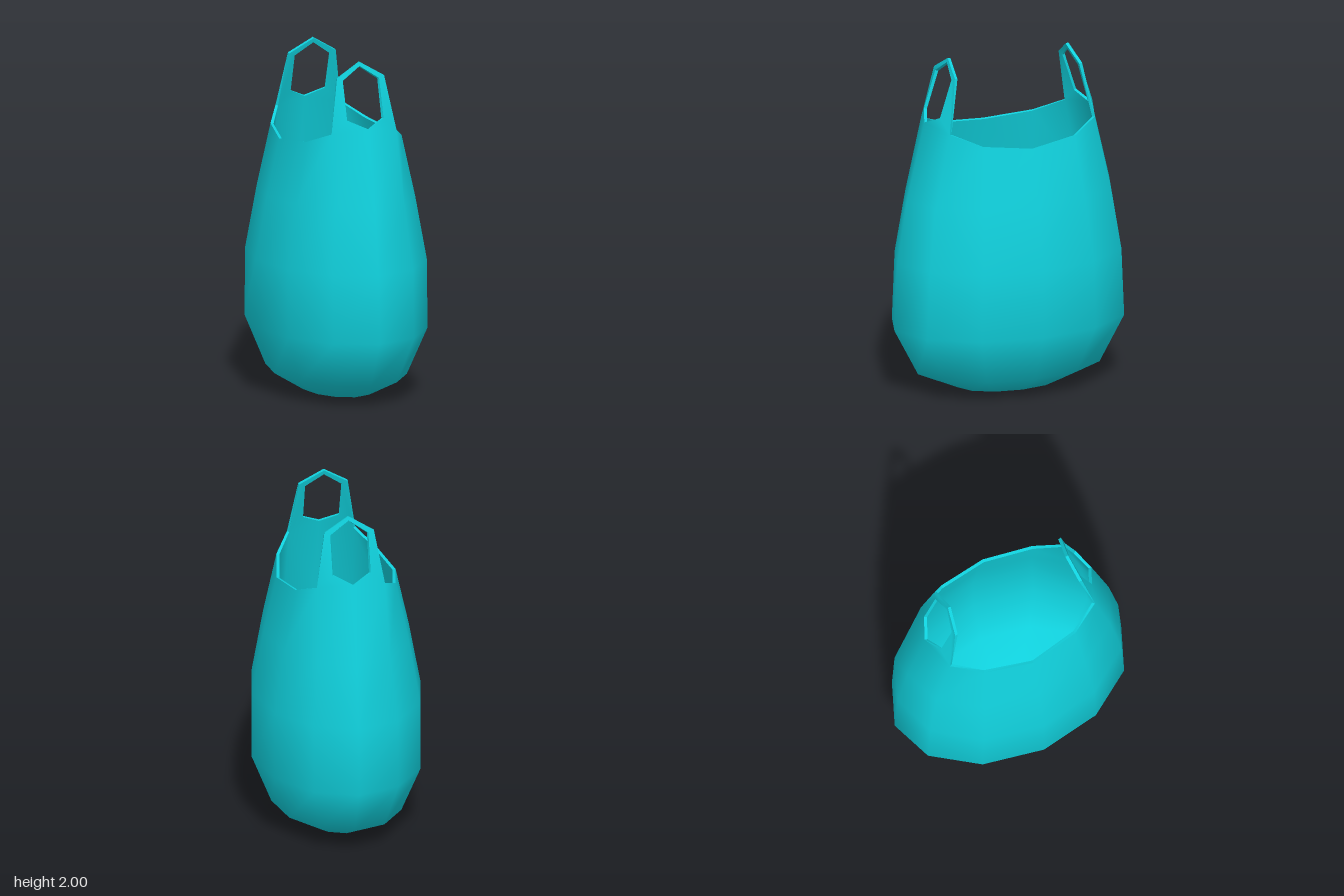
import * as THREE from 'three';

const THICKNESS = 0.018;
const SEGMENTS = 12;

// Elliptical rings of the bag body: [y, x radius, z radius]
const RINGS = [
  [0.012, 0.2, 0.32], [0.12, 0.38, 0.57], [0.4, 0.495, 0.72],
  [0.8, 0.495, 0.7], [1.17, 0.425, 0.64],
];
// Opening edge, from the middle of the front to the middle of the side
const RIM = [[0, 1.63, 0.53], [0.2, 1.6, 0.46], [0.295, 1.53, 0.29], [0.35, 1.5, 0]];
// Half of a handle: inner and outer outline, bottom to top
const INNER = [[0.112, 1.68, 0.482], [0.112, 1.9, 0.41], [0, 1.975, 0.388]];
const OUTER = [[0.2, 1.6, 0.46], [0.145, 1.915, 0.403], [0, 2, 0.382]];

// Outer skin as shared vertices and triangles
function buildSkin() {
  const positions = [], faces = [], lookup = new Map();
  const vertex = (x, y, z) => {
    const key = [x, y, z].map((n) => Math.round(n * 1e4)).join();
    if (!lookup.has(key)) {
      lookup.set(key, positions.length / 3);
      positions.push(x, y, z);
    }
    return lookup.get(key);
  };
  const tri = (a, b, c, flip = false) => faces.push(flip ? [a, c, b] : [a, b, c]);
  const quad = (a, b, c, d, flip = false) => {
    tri(a, b, c, flip);
    tri(a, c, d, flip);
  };

  // Body rings, then the rim with its raised front and back
  const point = (ring, k) => {
    const angle = ((k % SEGMENTS) / SEGMENTS) * Math.PI * 2;
    const s = Math.sin(angle), c = Math.cos(angle);
    if (ring < RINGS.length) {
      const [y, rx, rz] = RINGS[ring];
      return vertex(s * rx, y, c * rz);
    }
    const [x, y, z] = RIM[Math.min(k % 6, 6 - (k % 6))];
    return vertex(Math.sign(s) * x, y, Math.sign(c) * z);
  };
  const base = vertex(0, 0, 0);
  for (let k = 0; k < SEGMENTS; k++) {
    tri(base, point(0, k + 1), point(0, k));
    for (let r = 0; r < RINGS.length; r++) {
      quad(point(r, k), point(r, k + 1), point(r + 1, k + 1), point(r + 1, k));
    }
  }

  // Handles, mirrored left/right and front/back
  for (const sz of [1, -1]) {
    for (const sx of [1, -1]) {
      const at = ([x, y, z]) => vertex(x * sx, y, z * sz);
      const i = INNER.map(at), o = OUTER.map(at), flip = sx * sz < 0;
      tri(at(RIM[0]), o[0], i[0], flip);
      quad(o[0], o[1], i[1], i[0], flip);
      quad(o[1], o[2], i[2], i[1], flip);
    }
  }
  return { positions, faces };
}

function makeGeometry(positions, faces) {
  const geometry = new THREE.BufferGeometry();
  geometry.setAttribute('position', new THREE.Float32BufferAttribute(positions, 3));
  geometry.setIndex(faces.flat());
  geometry.computeVertexNormals();
  return geometry;
}

export function createModel() {
  const group = new THREE.Group();
  group.name = 'carrierBag';
  const material = new THREE.MeshStandardMaterial({ color: 0x10d0dc });
  const add = (name, geometry) => {
    const mesh = new THREE.Mesh(geometry, material);
    mesh.name = name;
    group.add(mesh);
  };

  // Outside of the bag and handles
  const { positions, faces } = buildSkin();
  const outer = makeGeometry(positions, faces);
  add('outerSkin', outer);

  // Lining: the same skin moved inwards and turned over
  const normals = outer.attributes.normal.array;
  const inside = positions.map((p, i) => p - normals[i] * THICKNESS);
  add('lining', makeGeometry(inside, faces.map(([a, b, c]) => [a, c, b])));

  // Hem joining both layers along every open edge
  const edges = new Set();
  for (const f of faces) f.forEach((a, i) => edges.add(a + '_' + f[(i + 1) % 3]));
  const count = positions.length / 3;
  const hemFaces = [];
  for (const edge of edges) {
    const [a, b] = edge.split('_').map(Number);
    if (edges.has(b + '_' + a)) continue;
    hemFaces.push([b, a, a + count], [b, a + count, b + count]);
  }
  const hem = makeGeometry([...positions, ...inside], hemFaces).toNonIndexed();
  hem.computeVertexNormals();
  add('hem', hem);

  return group;
}
